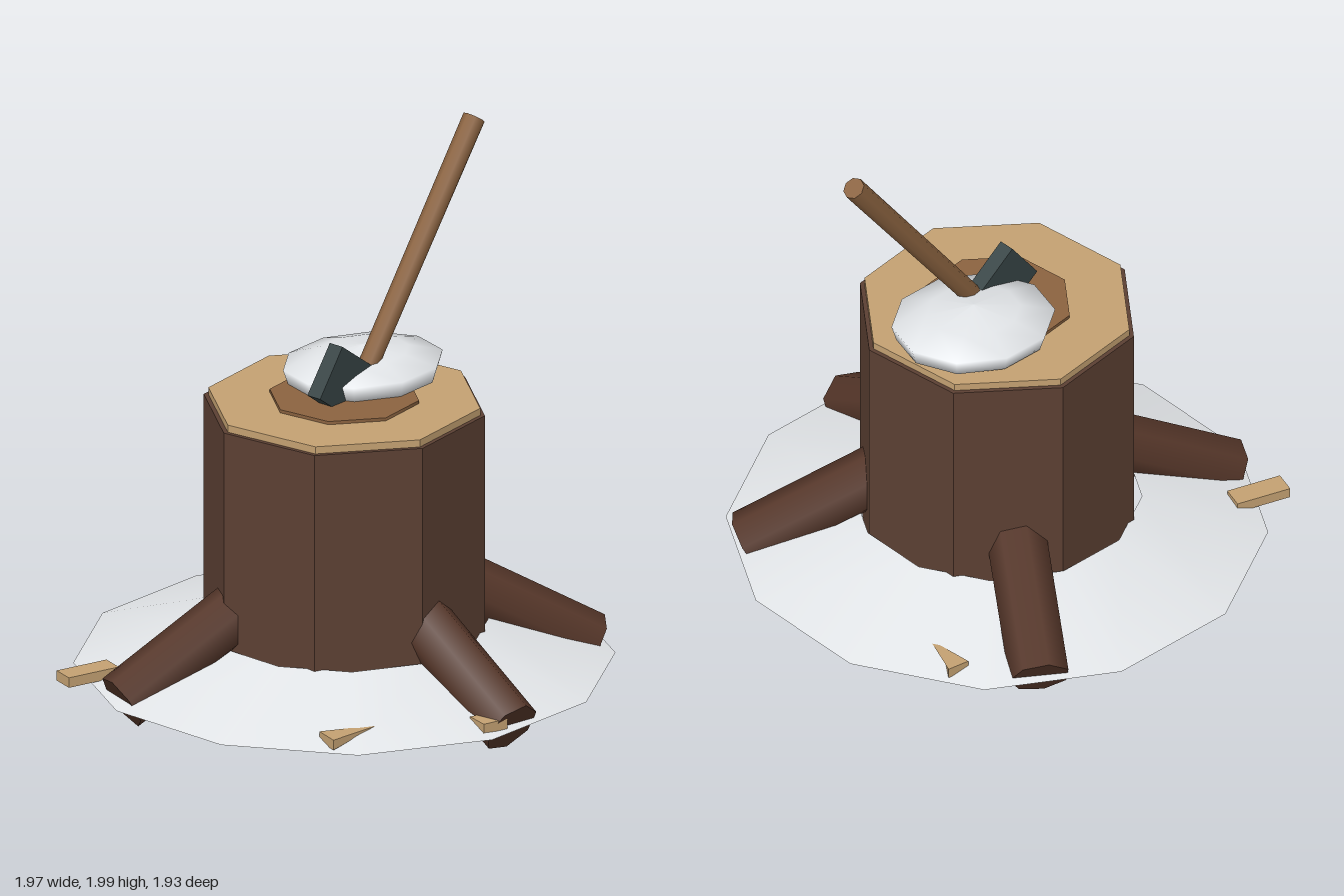
import * as THREE from 'three';

const mat = (name, color, opts = {}) => {
  const m = new THREE.MeshStandardMaterial({ color, ...opts });
  m.name = name;
  return m;
};

export function createModel() {
  const model = new THREE.Group();
  model.name = 'choppingStump';

  const bark = mat('bark', 0x5c4033, { flatShading: true });
  const rootBark = mat('rootBark', 0x553629);
  const paleWood = mat('paleWood', 0xc4a172, { flatShading: true });
  const brownWood = mat('brownWood', 0x8b6340);
  const snow = mat('snow', 0xeaedf0, { side: THREE.DoubleSide });
  const iron = mat('iron', 0x364344, { flatShading: true });

  const add = (name, geo, material, x = 0, y = 0, z = 0, parent = model) => {
    const mesh = new THREE.Mesh(geo, material);
    mesh.name = name;
    mesh.position.set(x, y, z);
    parent.add(mesh);
    return mesh;
  };

  // Trunk, cut face and heartwood, all octagonal
  const cx = 0.013, cz = -0.005;
  const drum = (name, r, y0, y1, material) =>
    add(name, new THREE.CylinderGeometry(r, r, y1 - y0, 8), material, cx, (y0 + y1) / 2, cz);
  drum('trunk', 0.512, 0.11, 1.073, bark);
  drum('cutFace', 0.495, 1.073, 1.1, paleWood);
  drum('heartwood', 0.272, 1.1, 1.112, brownWood);

  // Open sloping ring of snow around the base
  add('snowRing', new THREE.CylinderGeometry(0.517, 0.967, 0.145, 12, 1, true), snow, cx, 0.18, cz);

  // Four roots leaning out and down; angle from +x towards +z
  for (const deg of [22, 81.5, 185, 287.5]) {
    const a = THREE.MathUtils.degToRad(deg);
    const at = (r, y) => new THREE.Vector3(cx + r * Math.cos(a), y, cz + r * Math.sin(a));
    const top = at(0.41, 0.375), end = at(0.897, 0.1);
    const axis = end.clone().sub(top);
    const root = add('root', new THREE.CylinderGeometry(0.11, 0.11, axis.length(), 7), rootBark);
    root.position.copy(top).lerp(end, 0.5);
    root.rotation.set(0, -a, Math.atan2(axis.y, Math.hypot(axis.x, axis.z)) - Math.PI / 2);
  }

  // Snow heap on the cut face
  const heapProfile = [[0, -0.075], [0.17, -0.07], [0.245, -0.045], [0.262, 0.015], [0.15, 0.052], [0, 0.077]]
    .map(([r, y]) => new THREE.Vector2(r, y));
  const heap = add('snowHeap', new THREE.LatheGeometry(heapProfile, 10), snow, 0.17, 1.157, -0.125);
  heap.scale.x = 1.15;
  heap.rotation.z = 0.02;

  // Axe stuck in the stump
  const axe = new THREE.Group();
  axe.name = 'axe';
  axe.position.set(0.128, 1.2, -0.023);
  axe.rotation.set(0, 0.279, -0.636);
  model.add(axe);
  add('axeHandle', new THREE.CylinderGeometry(0.041, 0.037, 1.063, 8), brownWood, 0, 0.4315, 0, axe);
  add('axeHead', new THREE.BoxGeometry(0.275, 0.205, 0.06), iron, -0.0775, -0.108, 0, axe);

  // Wood chips; a pointed chip narrows and thins towards its local +x end
  const chip = (x, z, length, width, turn, pointed) => {
    const geo = new THREE.BoxGeometry(length, 0.038, width);
    const p = geo.attributes.position;
    for (let i = 0; pointed && i < p.count; i++) {
      if (p.getX(i) < 0) continue;
      p.setZ(i, p.getZ(i) * 0.1);
      if (p.getY(i) < 0) p.setX(i, 0);
    }
    geo.computeVertexNormals();
    add('woodChip', geo, paleWood, x, 0.136, z).rotation.y = turn;
  };
  chip(-0.88, -0.308, 0.208, 0.085, -0.03, false);
  chip(-0.43, 0.715, 0.195, 0.1, -0.05, true);
  chip(0.55, -0.645, 0.165, 0.085, -1.45, true);
  chip(0.055, 0.875, 0.1, 0.09, 0, false);

  return model;
}
